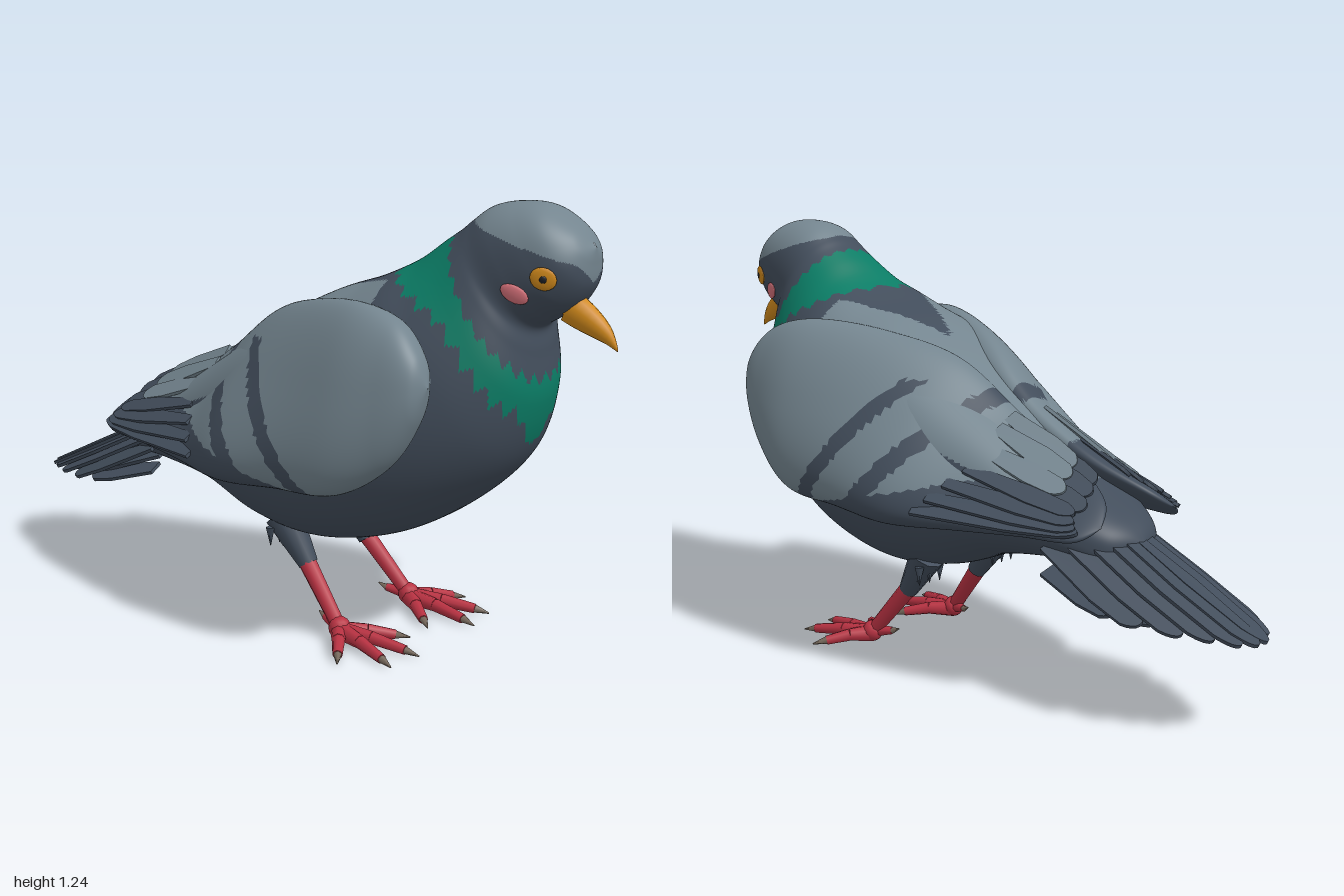
import * as THREE from 'three';

const V = (x, y, z) => new THREE.Vector3(x, y, z);
const paint = (name, color) => Object.assign(new THREE.MeshStandardMaterial({ color }), { name });
const soft = (v, e) => Math.sign(v) * Math.abs(v) ** e;

// Catmull-Rom lookup in a table of cross-sections at fractional row s
function rowAt(table, s) {
  const n = table.length - 1, i = Math.min(Math.floor(s), n - 1), t = s - i;
  const row = k => table[Math.max(0, Math.min(n, k))];
  return row(i).map((b, k) => {
    const a = row(i - 1)[k], c = row(i + 1)[k], d = row(i + 2)[k];
    return b + 0.5 * t * (c - a + t * (2 * a - 5 * b + 4 * c - d + t * (3 * (b - c) + d - a)));
  });
}

// Closed skin over rings; pick(point, s, angle) chooses the material slot of each triangle
function loft(name, point, rows, nu, nv, mats, pick = () => 0) {
  const pos = [], faces = mats.map(() => []);
  const at = (i, j) => point(rows * i / nu, 2 * Math.PI * j / nv);
  for (let i = 0; i <= nu; i++) for (let j = 0; j < nv; j++) pos.push(...at(i, j).toArray());
  const vert = k => V(pos[3 * k], pos[3 * k + 1], pos[3 * k + 2]);
  let volume = 0;
  const tri = (i, j, a, b, c) => {
    volume += vert(a).dot(vert(b).cross(vert(c)));
    faces[pick(at(i, j), rows * i / nu, 2 * Math.PI * j / nv)].push([a, b, c]);
  };
  for (let i = 0; i < nu; i++) for (let j = 0; j < nv; j++) {
    const a = i * nv + j, b = i * nv + (j + 1) % nv, c = a + nv, d = b + nv;
    if (i > 0) tri(i + 0.33, j + 0.67, a, b, d);
    if (i < nu - 1) tri(i + 0.67, j + 0.33, a, d, c);
  }
  const geo = new THREE.BufferGeometry(), index = [];
  geo.setAttribute('position', new THREE.Float32BufferAttribute(pos, 3));
  faces.forEach((list, m) => {
    geo.addGroup(index.length, list.length * 3, m);
    for (const [a, b, c] of list) index.push(...(volume > 0 ? [a, b, c] : [a, c, b]));
  });
  geo.setIndex(index);
  geo.computeVertexNormals();
  const mesh = new THREE.Mesh(geo, mats);
  mesh.name = name;
  return mesh;
}

// Thin rounded feather from a to b whose flat side faces "up"
function feather(name, a, b, width, mat, up) {
  const L = a.distanceTo(b), w = width / 2, shape = new THREE.Shape();
  shape.moveTo(-w * 0.6, 0).lineTo(w * 0.6, 0).lineTo(w, L * 0.6).lineTo(w * 0.85, L * 0.9);
  shape.quadraticCurveTo(w * 0.5, L, 0, L).quadraticCurveTo(-w * 0.5, L, -w * 0.85, L * 0.9).lineTo(-w, L * 0.6);
  const geo = new THREE.ExtrudeGeometry(shape, { depth: 0.01, bevelEnabled: false, curveSegments: 4 });
  geo.translate(0, 0, -0.005).rotateX(Math.PI / 2);
  const mesh = new THREE.Mesh(geo, mat);
  mesh.name = name;
  mesh.position.copy(a);
  mesh.up.copy(up);
  mesh.lookAt(b);
  return mesh;
}

// Tapered limb from a to b
function limb(name, a, b, ra, rb, mat, sides = 8) {
  const mesh = new THREE.Mesh(new THREE.CylinderGeometry(rb, ra, a.distanceTo(b), sides), mat);
  mesh.name = name;
  mesh.position.copy(a).add(b).multiplyScalar(0.5);
  mesh.quaternion.setFromUnitVectors(V(0, 1, 0), b.clone().sub(a).normalize());
  return mesh;
}

// Body rings from rump to forehead: back z, back y, belly z, belly y, half width
const BODY = [
  [-0.62, 0.45, -0.62, 0.43, 0], [-0.57, 0.51, -0.57, 0.385, 0.11], [-0.4, 0.61, -0.42, 0.385, 0.19],
  [-0.15, 0.77, -0.2, 0.355, 0.26], [0.05, 0.9, 0, 0.285, 0.315], [0.2, 0.975, 0.2, 0.265, 0.335],
  [0.33, 1.02, 0.42, 0.32, 0.33], [0.42, 1.06, 0.6, 0.43, 0.305], [0.47, 1.09, 0.74, 0.57, 0.26],
  [0.52, 1.13, 0.8, 0.73, 0.208], [0.57, 1.165, 0.795, 0.86, 0.172], [0.6, 1.19, 0.79, 0.92, 0.153],
  [0.65, 1.225, 0.83, 0.95, 0.144], [0.72, 1.24, 0.885, 0.985, 0.131], [0.8, 1.235, 0.922, 1.04, 0.108],
  [0.88, 1.19, 0.93, 1.1, 0.062], [0.92, 1.15, 0.93, 1.14, 0]];
function bodyPoint(s, angle) {
  const [zt, yt, zb, yb, w] = rowAt(BODY, s), e = 0.8 + 0.12 * THREE.MathUtils.smoothstep(s, 6, 9);
  const k = (1 + soft(Math.cos(angle), e)) / 2;
  return V(w * soft(Math.sin(angle), e), yb + (yt - yb) * k, zb + (zt - zb) * k);
}
// Slots: 0 slate, 1 pale grey, 2 green
function bodyColour(p, s, angle) {
  const c = Math.cos(angle), x = Math.abs(p.x), top = Math.max(c, 0);
  const zig = Math.abs((angle * 26 / (2 * Math.PI)) % 1 - 0.5) - 0.25;
  if (s > 11) {
    const cap = p.y > 1.1 + 0.3 * (0.92 - p.z) || (p.z > 0.86 && p.y > 1.05 + x * 0.7);
    return cap && p.z > 0.61 ? 1 : 0;
  }
  const bib = c < -0.3 && p.y > 0.6 + 1.15 * x + zig * 0.06;
  const collar = s > 8.75 - 1.9 * top * top + zig * 0.6;
  if (s > 6 && s < 9.45 + 0.3 * top + zig * 0.5 && (bib || collar)) return 2;
  return s < 7 && c > 0.3 && p.z > -0.42 && p.z < Math.min(0.1 + 2 * x, 0.42) ? 1 : 0;
}

// Folded wing rings: z, centre x, centre y, half height, half thickness, lean
const WING = [
  [0.65, 0.31, 0.8, 0, 0, 0.1], [0.62, 0.31, 0.79, 0.09, 0.05, 0.1], [0.54, 0.305, 0.765, 0.19, 0.085, 0.15],
  [0.4, 0.3, 0.735, 0.252, 0.105, 0.25], [0.2, 0.262, 0.715, 0.262, 0.105, 0.45], [0, 0.215, 0.675, 0.26, 0.095, 0.65],
  [-0.2, 0.165, 0.61, 0.195, 0.06, 0.8], [-0.4, 0.14, 0.565, 0.14, 0.035, 0.95],
  [-0.55, 0.15, 0.53, 0.08, 0.018, 1], [-0.6, 0.155, 0.52, 0, 0, 1]];
function wingPoint(side, s, angle) {
  const [z, cx, cy, a, b, lean] = rowAt(WING, s);
  const u = -a * soft(Math.cos(angle), 0.88), o = b * soft(Math.sin(angle), 0.88);
  return V(side * (cx - u * Math.sin(lean) + o * Math.cos(lean)), cy + u * Math.cos(lean) + o * Math.sin(lean), z);
}
// Two slanting bars and dark flight feathers along the lower edge
function wingColour(p) {
  const d = 0.33 - 0.79 * (p.y - 0.5) - p.z;
  if (p.z < 0.25 && p.y < 0.5 + 0.24 * (0.2 - p.z)) return 0;
  if (d < 0 || (p.y > 0.84 && d < 0.2)) return 1;
  return d < 0.06 || (d > 0.2 && d < 0.27) || d > 0.52 ? 0 : 1;
}

export function createModel() {
  const slate = paint('slate', 0x424d5b), pale = paint('pale grey', 0x74858f), green = paint('neck green', 0x0b7c65);
  const red = paint('leg red', 0xb83242), orange = paint('beak orange', 0xd38b1c), pink = paint('cheek pink', 0xd9737c);
  const claw = paint('claw grey', 0x77695c), black = paint('pupil black', 0x1d2026);
  const bird = new THREE.Group();
  bird.name = 'bird';
  bird.add(loft('body', bodyPoint, 16, 190, 176, [slate, pale, green], bodyColour));

  // Hooked beak: z, y, half width, half height
  const BEAK = [[0.86, 0.985, 0.034, 0.04], [0.89, 0.973, 0.034, 0.041], [0.94, 0.945, 0.026, 0.031],
    [0.975, 0.92, 0.015, 0.019], [0.997, 0.893, 0.003, 0.005], [1, 0.888, 0, 0]];
  bird.add(loft('beak', (s, t) => {
    const [z, y, w, h] = rowAt(BEAK, s);
    return V(w * Math.sin(t), y + h * Math.cos(t), z + h * 0.3 * Math.cos(t));
  }, 5, 15, 10, [orange]));

  for (const side of [1, -1]) {
    // Flat oval laid on the head
    const spot = (name, s, angle, rx, ry, lift, mat, roll) => {
      const p = bodyPoint(s, angle), e = 0.03;
      const n = bodyPoint(s + e, angle).sub(p).cross(bodyPoint(s, angle + e).sub(p)).normalize();
      if (n.x < 0) n.negate();
      p.addScaledVector(n, lift);
      const mesh = new THREE.Mesh(new THREE.SphereGeometry(1, 14, 8), mat);
      mesh.name = name;
      mesh.scale.set(rx, ry, 0.007);
      mesh.position.set(side * p.x, p.y, p.z);
      mesh.lookAt(side * (p.x + n.x), p.y + n.y, p.z + n.z);
      mesh.rotateZ(side * roll);
      bird.add(mesh);
    };
    spot('eye', 13.25, 1.97, 0.034, 0.029, 0.003, orange, 0.4);
    spot('pupil', 13.25, 1.97, 0.011, 0.011, 0.006, black, 0);
    spot('cheek', 12, 2, 0.038, 0.023, 0.003, pink, 0.5);

    bird.add(loft('wing', (s, t) => wingPoint(side, s, t), 9, 110, 80, [slate, pale], wingColour));

    // Flight feathers along the lower rear edge of the wing
    const up = V(side * 0.55, 0.83, 0);
    for (let i = 0; i < 4; i++) {
      const t = 0.5 + i * 0.3, a = wingPoint(side, 5.5 + i * 0.15, t), b = wingPoint(side, 8.2 - i * 0.12, t);
      bird.add(feather('flightFeather', a, b.addScaledVector(up, 0.012), 0.055, slate, up));
    }
    // Pale coverts with dark tips towards the back
    for (let i = 0; i < 3; i++) {
      const t = 1.7 + i * 0.4, a = wingPoint(side, 6, t), b = wingPoint(side, 7.4 - i * 0.1, t).addScaledVector(up, 0.014);
      bird.add(feather('covert', a, b, 0.068, pale, up));
      bird.add(feather('covertTip', a.clone().lerp(b, 0.6).addScaledVector(up, -0.008),
        b.clone().add(V(0, -0.035, -0.07)), 0.062, slate, up));
    }

    // Tail fan, two overlapping layers
    [-1, -0.975, -0.92, -0.85, -0.75].forEach((z, i) => {
      const k = i + 0.5, drop = 0.005 * k * k, tilt = V(side * k * 0.09, 1, 0);
      const a = V(side * k * 0.036, 0.545 - drop, -0.42), b = V(side * k * 0.039, 0.27 + 0.53 * (z + 1) - drop, z);
      bird.add(feather('tailFeather', a, b, 0.085, slate, tilt));
      bird.add(feather('underTailFeather', a.clone().add(V(0, -0.07, 0)), b.clone().add(V(0, 0.012, 0.08)), 0.085, slate, tilt));
    });

    // Leg with feathered thigh
    const P = (x, y, z) => V(side * x, y, z), knee = P(0.143, 0.19, 0.15), heel = P(0.168, 0.05, 0.27);
    bird.add(limb('thigh', P(0.145, 0.32, 0.06), knee, 0.054, 0.028, slate, 10));
    bird.add(limb('shin', P(0.142, 0.215, 0.13), heel, 0.027, 0.021, red));
    const ankle = new THREE.Mesh(new THREE.SphereGeometry(0.032, 10, 8), red);
    ankle.name = 'ankle';
    ankle.position.set(side * 0.17, 0.04, 0.28);
    bird.add(ankle);
    for (let i = 0; i < 5; i++) {
      const x = 0.11 + i * 0.02;
      bird.add(limb('thighTuft', P(x, 0.29, 0.05), P(x, 0.235, 0.05 + (i % 2) * 0.03), 0.014, 0.001, slate, 5));
    }

    // Toes and claws
    for (const [x, z] of [[0.07, 0.4], [0.145, 0.485], [0.235, 0.47], [0.285, 0.36]]) {
      const root = P(0.17, 0.032, 0.28), tip = P(x, 0.017, z), mid = root.clone().lerp(tip, 0.5).add(V(0, 0.006, 0));
      const end = tip.clone().add(tip.clone().sub(root).setLength(0.042)).setY(0.008);
      bird.add(limb('toe', root, mid, 0.026, 0.019, red), limb('toe', mid, tip, 0.019, 0.014, red));
      bird.add(limb('claw', tip, end, 0.012, 0.002, claw, 6));
    }
    bird.add(limb('hindToe', P(0.17, 0.04, 0.28), P(0.15, 0.05, 0.215), 0.02, 0.011, red));
    bird.add(limb('hindClaw', P(0.15, 0.05, 0.215), P(0.145, 0.06, 0.19), 0.01, 0.002, claw, 6));
  }
  return bird;
}
